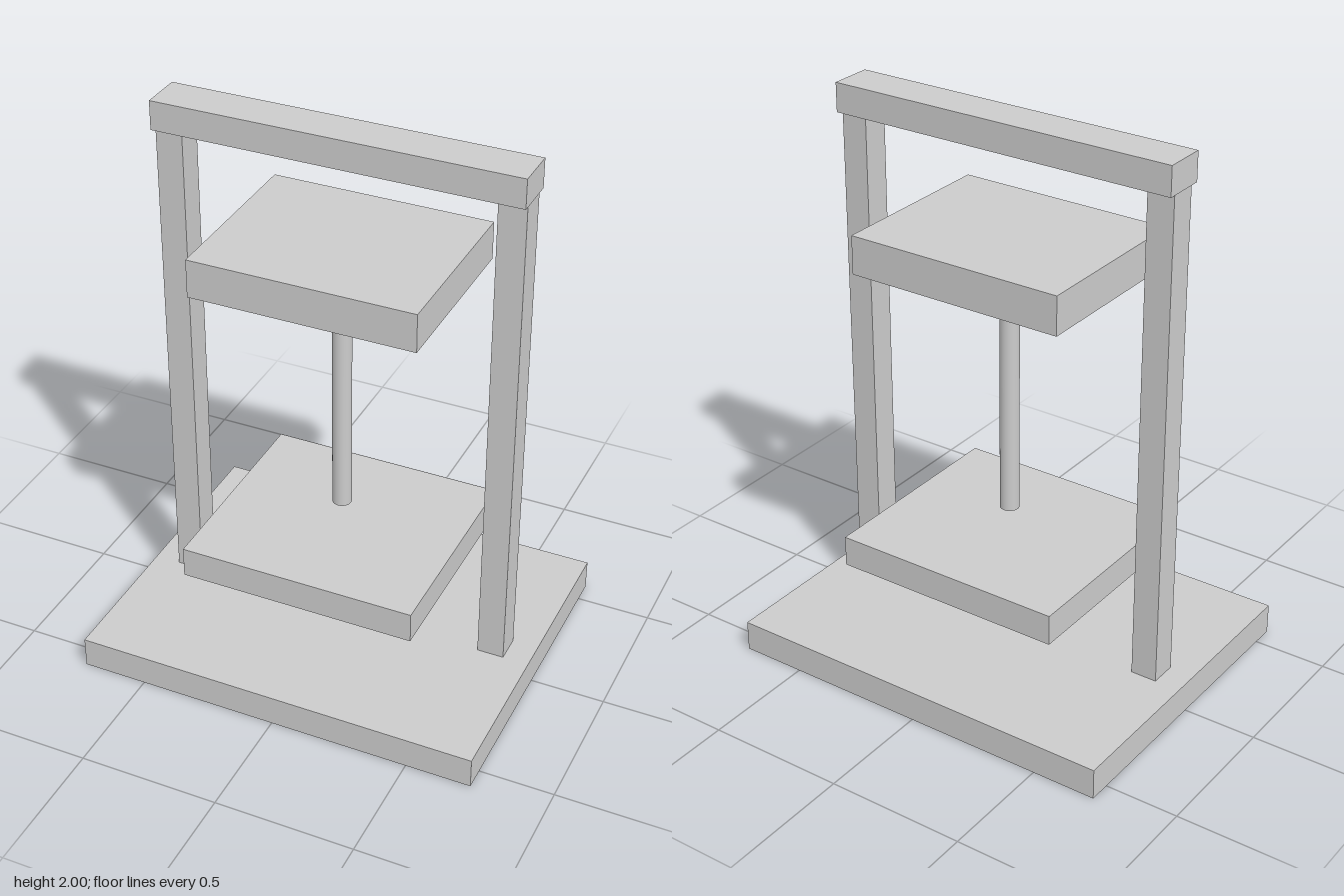
import * as THREE from 'three';

export function createModel() {
  const press = new THREE.Group();
  press.name = 'press';
  const material = new THREE.MeshStandardMaterial({ color: 0xcccccc });

  function add(name, geometry, x, y) {
    const mesh = new THREE.Mesh(geometry, material);
    mesh.name = name;
    mesh.position.set(x, y, 0);
    press.add(mesh);
  }

  // Box spanning the heights bottom to top, centred on z = 0
  function addBlock(name, width, depth, bottom, top, x = 0) {
    add(name, new THREE.BoxGeometry(width, top - bottom, depth), x, (bottom + top) / 2);
  }

  const baseTop = 0.112;
  const beamBottom = 1.896;

  // Frame: base, two posts and cross beam
  addBlock('base', 1.468, 1.158, 0, baseTop);
  addBlock('leftPost', 0.096, 0.1, baseTop, beamBottom, 0.593);
  addBlock('rightPost', 0.096, 0.1, baseTop, beamBottom, -0.593);
  addBlock('crossBeam', 1.288, 0.154, beamBottom, 2);

  // Floating plates
  addBlock('lowerPlate', 0.854, 0.77, 0.367, 0.478);
  addBlock('upperPlate', 0.8, 0.642, 1.462, 1.6);

  // Central rod between the plates
  const rodBottom = 0.562;
  const rodTop = 1.392;
  add('rod', new THREE.CylinderGeometry(0.034, 0.034, rodTop - rodBottom, 32), 0, (rodBottom + rodTop) / 2);

  return press;
}
